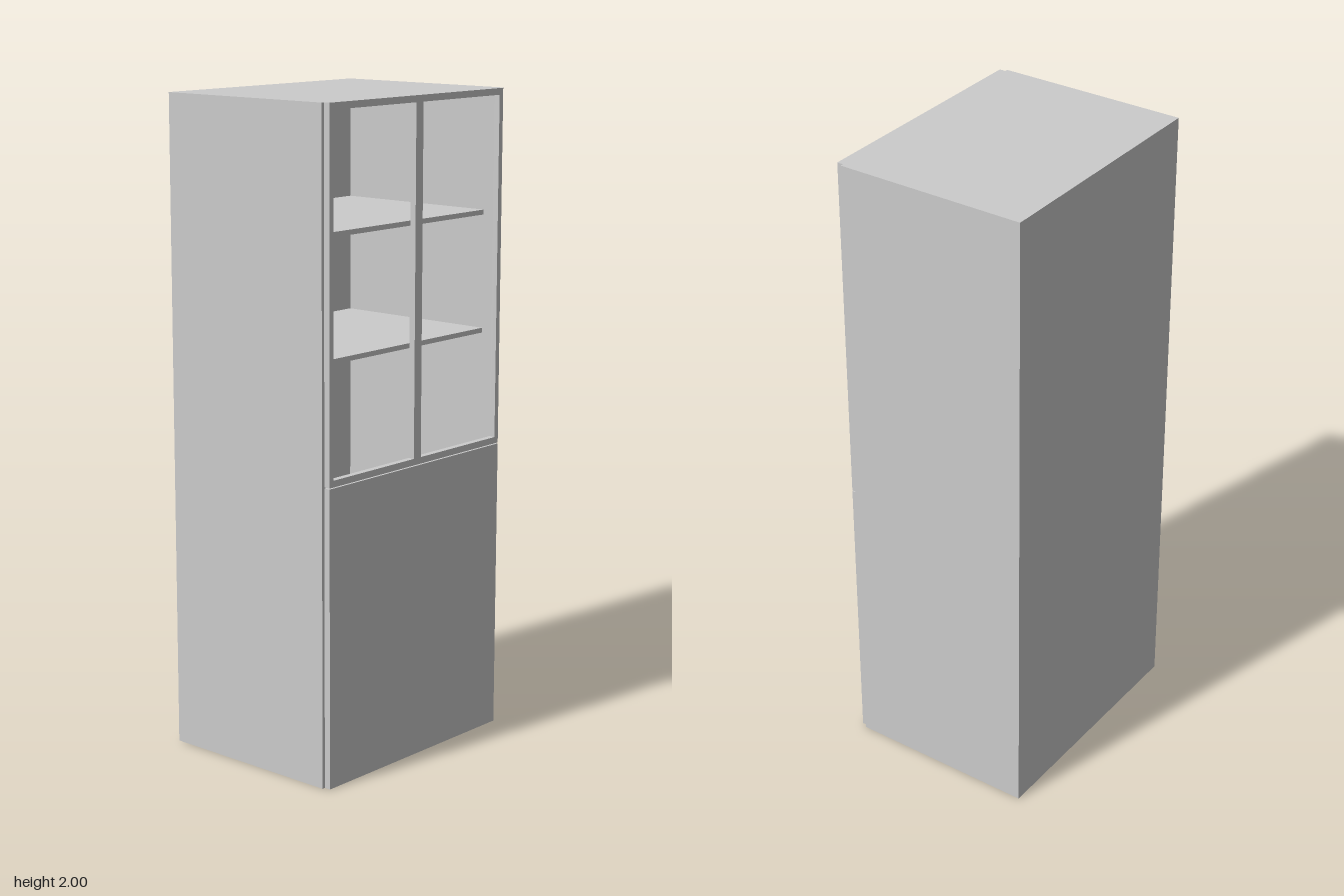
import * as THREE from 'three';

const W = 0.8, H = 2, BACK = -0.31, FRONT = 0.29, T = 0.02;
const DOOR_W = 0.78, DOOR_T = 0.02, SPLIT = 0.91;

export function createModel() {
  const model = new THREE.Group();
  model.name = 'displayCabinet';
  const material = new THREE.MeshStandardMaterial({ color: 0xcccccc });

  const add = (name, geometry, parent = model) => {
    const mesh = new THREE.Mesh(geometry, material);
    mesh.name = name;
    parent.add(mesh);
    return mesh;
  };

  // Box given by its lowest and highest corners
  const panel = (name, [x0, y0, z0], [x1, y1, z1], parent) =>
    add(name, new THREE.BoxGeometry(x1 - x0, y1 - y0, z1 - z0), parent)
      .position.set((x0 + x1) / 2, (y0 + y1) / 2, (z0 + z1) / 2);

  // Hollow carcass, open at the front
  const carcass = new THREE.Group();
  carcass.name = 'carcass';
  model.add(carcass);
  const inner = W / 2 - T;
  panel('rightSide', [-W / 2, 0, BACK], [-inner, H, FRONT], carcass);
  panel('leftSide', [inner, 0, BACK], [W / 2, H, FRONT], carcass);
  panel('backPanel', [-inner, 0, BACK], [inner, H, BACK + T], carcass);
  panel('bottomPanel', [-inner, 0, BACK + T], [inner, T, FRONT], carcass);
  panel('topPanel', [-inner, H - T, BACK + T], [inner, H, FRONT], carcass);

  // Two shelves behind the openings
  for (const y of [1.25, 1.615]) {
    panel('shelf', [-inner, y, BACK + T], [inner, y + 0.015, 0.25]);
  }

  // Solid lower door
  panel('lowerDoor', [-DOOR_W / 2, 0, FRONT], [DOOR_W / 2, SPLIT - 0.003, FRONT + DOOR_T]);

  // Upper door frame with two tall openings either side of a centre post
  const rect = (path, x0, y0, x1, y1) => {
    path.moveTo(x0, y0).lineTo(x1, y0).lineTo(x1, y1).lineTo(x0, y1).closePath();
    return path;
  };
  const frame = rect(new THREE.Shape(), -DOOR_W / 2, SPLIT, DOOR_W / 2, H);
  for (const [x0, x1] of [[-0.373, -0.016], [0.016, 0.373]]) {
    frame.holes.push(rect(new THREE.Path(), x0, 0.93, x1, 1.98));
  }
  add('upperDoorFrame', new THREE.ExtrudeGeometry(frame, { depth: DOOR_T, bevelEnabled: false }))
    .position.z = FRONT;

  return model;
}
